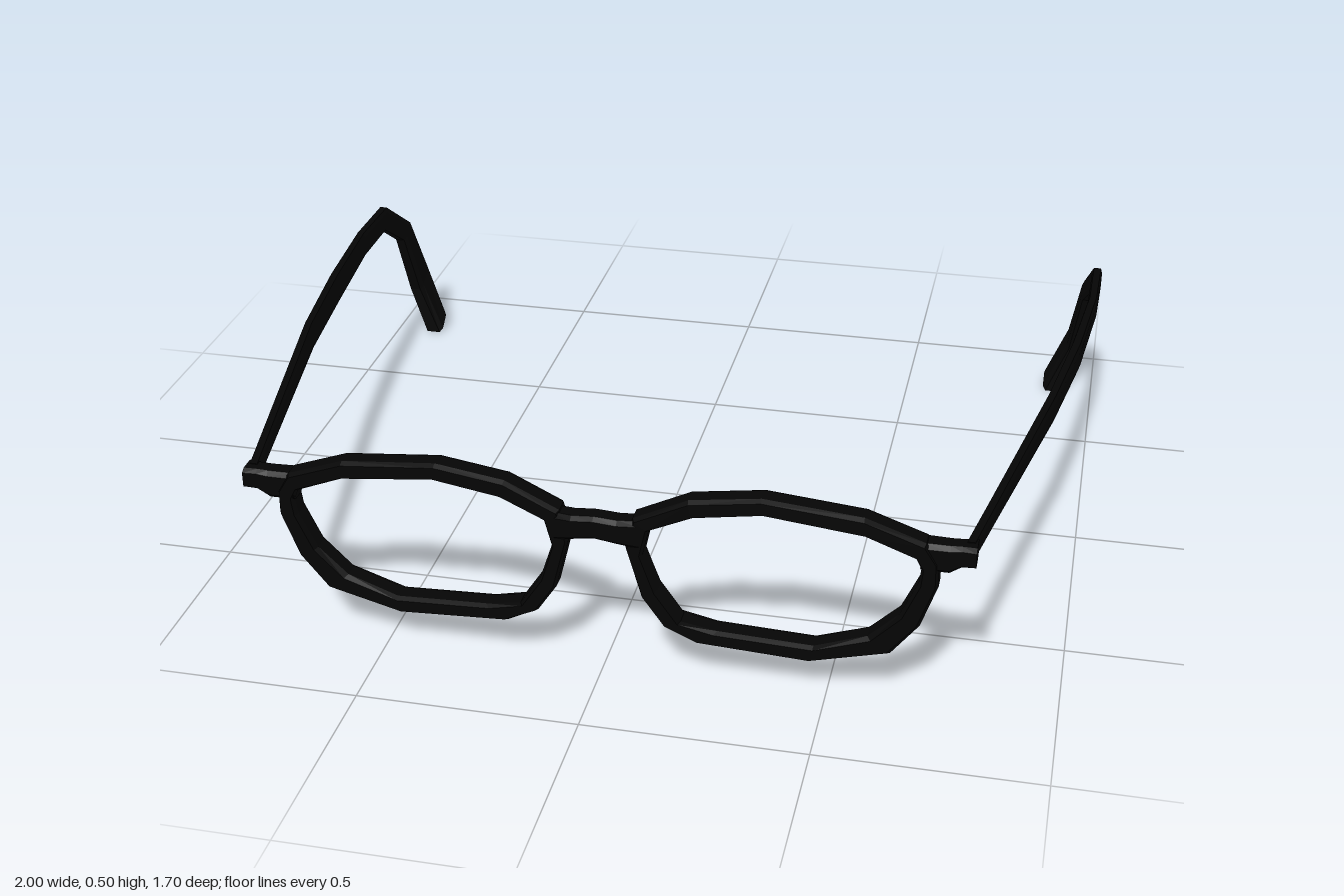
import * as THREE from 'three';

// Chamfered rectangle cross-section, as (u, v) factors
const PROFILE = [[1, .6], [.7, 1], [-.7, 1], [-1, .6], [-1, -.6], [-.7, -1], [.7, -1], [1, -.6]];

// Skin a row of sections {c, u, v}: centre and two half-axis vectors
function loft(sections, closed) {
  const n = PROFILE.length, pos = [], index = [];
  for (const { c, u, v } of sections)
    for (const [a, b] of PROFILE)
      for (let k = 0; k < 3; k++) pos.push(c[k] + u[k] * a + v[k] * b);
  const m = sections.length;
  for (let i = 0; i < (closed ? m : m - 1); i++)
    for (let j = 0; j < n; j++) {
      const a = i * n + j, b = i * n + (j + 1) % n;
      const c = ((i + 1) % m) * n + j, d = ((i + 1) % m) * n + (j + 1) % n;
      index.push(a, b, d, a, d, c);
    }
  if (!closed) {
    const last = (m - 1) * n;
    for (let j = 1; j < n - 1; j++) {
      index.push(0, j + 1, j);
      index.push(last, last + j, last + j + 1);
    }
  }
  // Turn all faces outward, whichever way the sections run
  let volume = 0;
  const p = (i) => new THREE.Vector3().fromArray(pos, i * 3);
  for (let i = 0; i < index.length; i += 3)
    volume += p(index[i]).dot(p(index[i + 1]).cross(p(index[i + 2])));
  if (volume < 0) index.reverse();
  const g = new THREE.BufferGeometry();
  g.setAttribute('position', new THREE.Float32BufferAttribute(pos, 3));
  g.setIndex(index);
  const flat = g.toNonIndexed();
  flat.computeVertexNormals();
  return flat;
}

// Rim outline: outer x, y and inner x, y
const RIM = [
  [.70, .42, .68, .38], [.57, .47, .575, .425], [.355, .495, .36, .455], [.2, .475, .21, .433],
  [.08, .417, .115, .39], [.062, .345, .10, .325], [.095, .215, .13, .235], [.14, .145, .18, .157],
  [.21, .106, .26, .14], [.46, .086, .47, .125], [.635, .128, .585, .165], [.695, .208, .65, .23],
  [.73, .315, .687, .315], [.728, .375, .692, .355],
];

// Temple: x, half width, then z, y of the upper and lower edge
const TEMPLE = [
  [.79, .012, .77, .42, .77, .38], [.915, .012, .1, .436, .1, .37],
  [.957, .013, -.2, .432, -.2, .36], [.984, .012, -.48, .43, -.48, .365],
  [.987, .013, -.675, .425, -.655, .365], [.968, .017, -.80, .33, -.74, .30],
  [.945, .02, -.855, .17, -.78, .13], [.896, .026, -.83, .045, -.775, 0],
];

// Cross pieces: x, y, z, half height, half depth
const BRIDGE = [
  [-.1, .375, .8, .035, .025], [-.05, .388, .818, .029, .027], [0, .396, .822, .027, .027],
  [.05, .388, .818, .029, .027], [.1, .375, .8, .035, .025],
];
const HINGE = [
  [.69, .385, .772, .033, .028], [.75, .384, .772, .033, .026],
  [.775, .393, .772, .025, .026], [.805, .395, .772, .024, .03],
];
const crossPiece = (rows, s = 1) => loft(rows.map(([x, y, z, h, d]) =>
  ({ c: [s * x, y, z], u: [0, h, 0], v: [0, 0, d] })), false);

export function createModel() {
  const group = new THREE.Group();
  group.name = 'eyeglasses';
  const black = new THREE.MeshStandardMaterial({ color: 0x050505 });
  black.name = 'black plastic';
  black.flatShading = true;
  const add = (name, geometry) => {
    const mesh = new THREE.Mesh(geometry, black);
    mesh.name = name;
    group.add(mesh);
  };

  add('bridge', crossPiece(BRIDGE));
  for (const [side, s] of [['left', 1], ['right', -1]]) {
    // Rim leans slightly forward at the top and toward the nose
    add(side + 'Rim', loft(RIM.map(([ox, oy, ix, iy]) => {
      const x = (ox + ix) / 2, y = (oy + iy) / 2;
      return {
        c: [s * x, y, .78 + (.4 - x) * .04 + (y - .3) * .07],
        u: [s * (ox - ix) / 2, (oy - iy) / 2, 0],
        v: [0, 0, .03],
      };
    }), true));
    add(side + 'Hinge', crossPiece(HINGE, s));
    // Temple arm with its hooked ear piece
    add(side + 'Temple', loft(TEMPLE.map(([x, w, tz, ty, bz, by]) => ({
      c: [s * x, (ty + by) / 2, (tz + bz) / 2],
      u: [s * w, 0, 0],
      v: [0, (ty - by) / 2, (tz - bz) / 2],
    })), false));
  }
  return group;
}
